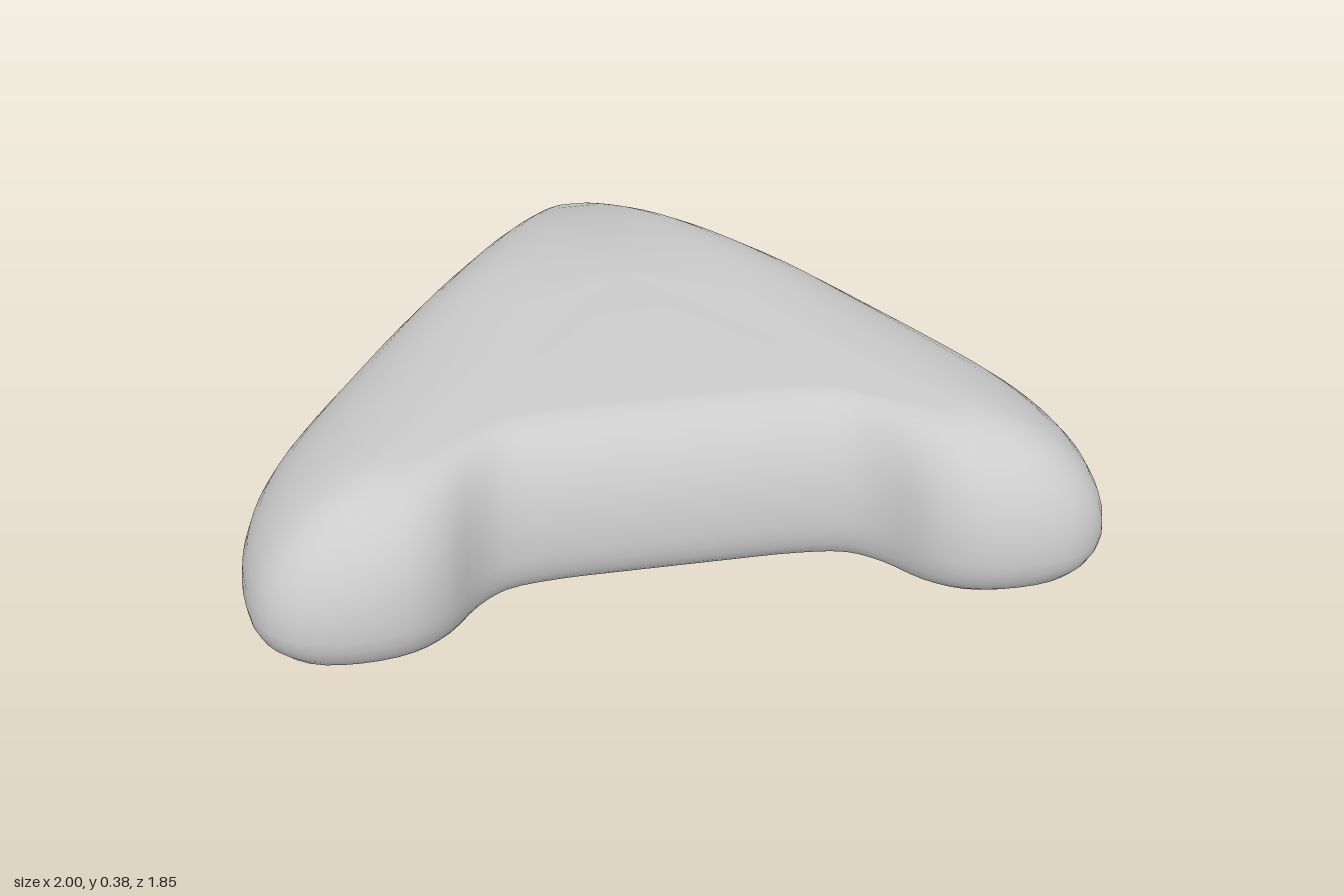
import * as THREE from 'three';
import { mergeVertices } from 'three/addons/utils/BufferGeometryUtils.js';

// Half plan from nose to notch: [widest x, widest z, crown-edge x, crown-edge z]
const HALF = [
  [0, -0.925, 0, -0.85],
  [0.05, -0.92, 0.03, -0.85],
  [0.1, -0.88, 0.05, -0.83],
  [0.19, -0.76, 0.08, -0.74],
  [0.32, -0.58, 0.13, -0.58],
  [0.46, -0.38, 0.19, -0.38],
  [0.6, -0.18, 0.26, -0.18],
  [0.735, 0.02, 0.33, 0.03],
  [0.86, 0.22, 0.41, 0.22],
  [0.95, 0.4, 0.5, 0.38],
  [0.993, 0.56, 0.57, 0.49],
  [1, 0.7, 0.62, 0.56],
  [0.97, 0.83, 0.65, 0.61],
  [0.89, 0.9, 0.66, 0.635],
  [0.77, 0.92, 0.645, 0.65],
  [0.64, 0.9, 0.61, 0.65],
  [0.55, 0.84, 0.56, 0.63],
  [0.48, 0.75, 0.47, 0.575],
  [0.41, 0.7, 0.39, 0.525],
  [0.29, 0.682, 0.28, 0.505],
  [0.14, 0.68, 0.14, 0.5],
  [0, 0.68, 0, 0.5],
];
const BELT = 0.1; // height of the widest outline
const SPINE_END = -0.1; // the caps fan out from here towards the lobes

// Crown height: level over the body, drooping towards the nose
const crown = (z) => 0.385 - 0.21 * Math.pow(Math.max(0, -z) / 0.9, 2.2);

// Closed smooth loop through the half plan and its mirror image
function loop(ix, iz, count) {
  const right = HALF.map((p) => new THREE.Vector3(p[ix], 0, p[iz]));
  const left = right.slice(1, -1).reverse().map((p) => new THREE.Vector3(-p.x, 0, p.z));
  const curve = new THREE.CatmullRomCurve3([...right, ...left], true);
  return Array.from({ length: count }, (_, i) => curve.getPoint(i / count));
}

function bodyGeometry() {
  const count = (HALF.length * 2 - 2) * 3;
  const wide = loop(0, 1, count);
  const top = loop(2, 3, count);
  const rows = [];

  // A cap row, a fraction of the way from an edge row to the spine
  const capRow = (edge, t, height) => edge.map((p) => {
    const z = THREE.MathUtils.lerp(p.z, Math.min(p.z, SPINE_END), t);
    return new THREE.Vector3(p.x * (1 - t), height(z), z);
  });
  // A wall row, inset from the widest outline towards the crown edge
  const wallRow = (inset, height) => wide.map((p, i) => {
    const v = p.clone().lerp(top[i], inset);
    v.y = height(top[i].z);
    return v;
  });

  // Underside, rounded lower edge, domed wall, crown
  const floorEdge = wallRow(0.25, () => 0);
  for (const t of [1, 0.5, 0.1]) rows.push(capRow(floorEdge, t, () => 0));
  for (let k = 0; k < 5; k++) {
    const a = (k / 5) * Math.PI / 2;
    rows.push(wallRow(0.25 * (1 - Math.sin(a)), () => BELT * (1 - Math.cos(a))));
  }
  for (let k = 0; k <= 10; k++) {
    const a = (k / 10) * Math.PI / 2;
    rows.push(wallRow(1 - Math.cos(a), (z) => BELT + (crown(z) - BELT) * Math.sin(a)));
  }
  for (const t of [0.15, 0.5, 1]) rows.push(capRow(top, t, crown));

  // Join the rows
  const positions = rows.flat().flatMap((p) => [p.x, p.y, p.z]);
  const index = [];
  for (let r = 0; r < rows.length - 1; r++) {
    for (let i = 0; i < count; i++) {
      const j = (i + 1) % count;
      const a = r * count + i, b = r * count + j;
      index.push(a, a + count, b, b, a + count, b + count);
    }
  }
  let geometry = new THREE.BufferGeometry();
  geometry.setAttribute('position', new THREE.Float32BufferAttribute(positions, 3));
  geometry.setIndex(index);
  geometry = mergeVertices(geometry, 1e-4);
  geometry.computeVertexNormals();
  return geometry;
}

export function createModel() {
  const group = new THREE.Group();
  group.name = 'softWedge';
  const body = new THREE.Mesh(
    bodyGeometry(),
    new THREE.MeshStandardMaterial({ color: 0xcccccc })
  );
  body.name = 'body';
  group.add(body);
  return group;
}
